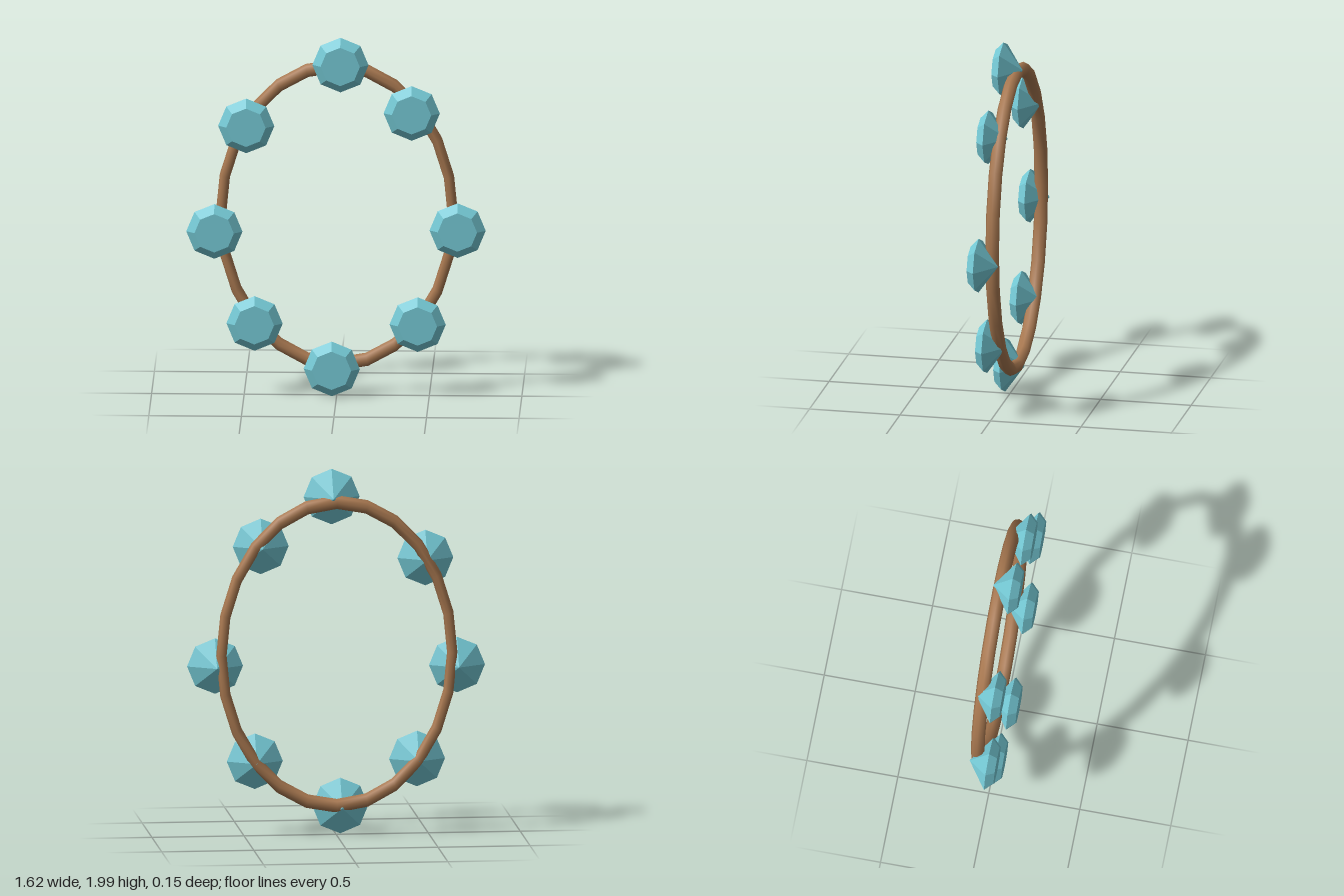
import * as THREE from 'three';

export function createModel() {
  const group = new THREE.Group();

  // Oval ring: a torus squeezed along x
  const ringGeometry = new THREE.TorusGeometry(0.83, 0.0375, 8, 24);
  ringGeometry.scale(0.755, 1, 1);
  const ring = new THREE.Mesh(ringGeometry, new THREE.MeshStandardMaterial({ color: 0xa87850 }));
  ring.name = 'ring';
  ring.position.set(0, 0.998, -0.037);
  group.add(ring);

  // Eight-sided cut gem: pointed back, wide girdle, flat table facing front
  const profile = [[0, -0.107], [0.152, 0], [0.1065, 0.044], [0, 0.044]]
    .map(([r, h]) => new THREE.Vector2(r, h));
  const gemGeometry = new THREE.LatheGeometry(profile, 8);
  gemGeometry.rotateX(Math.PI / 2);
  const gemMaterial = new THREE.MeshStandardMaterial({ color: 0x74c8d4, flatShading: true });

  // Gem centres, clockwise from the top, slightly uneven as if hand-set
  const centres = [
    [0.021, 1.848], [0.406, 1.582], [0.654, 0.932], [0.438, 0.408],
    [-0.026, 0.158], [-0.443, 0.408], [-0.66, 0.918], [-0.488, 1.506],
  ];
  centres.forEach(([x, y], i) => {
    const gem = new THREE.Mesh(gemGeometry, gemMaterial);
    gem.name = `gem${i + 1}`;
    gem.position.set(x, y, 0.032);
    group.add(gem);
  });

  return group;
}
